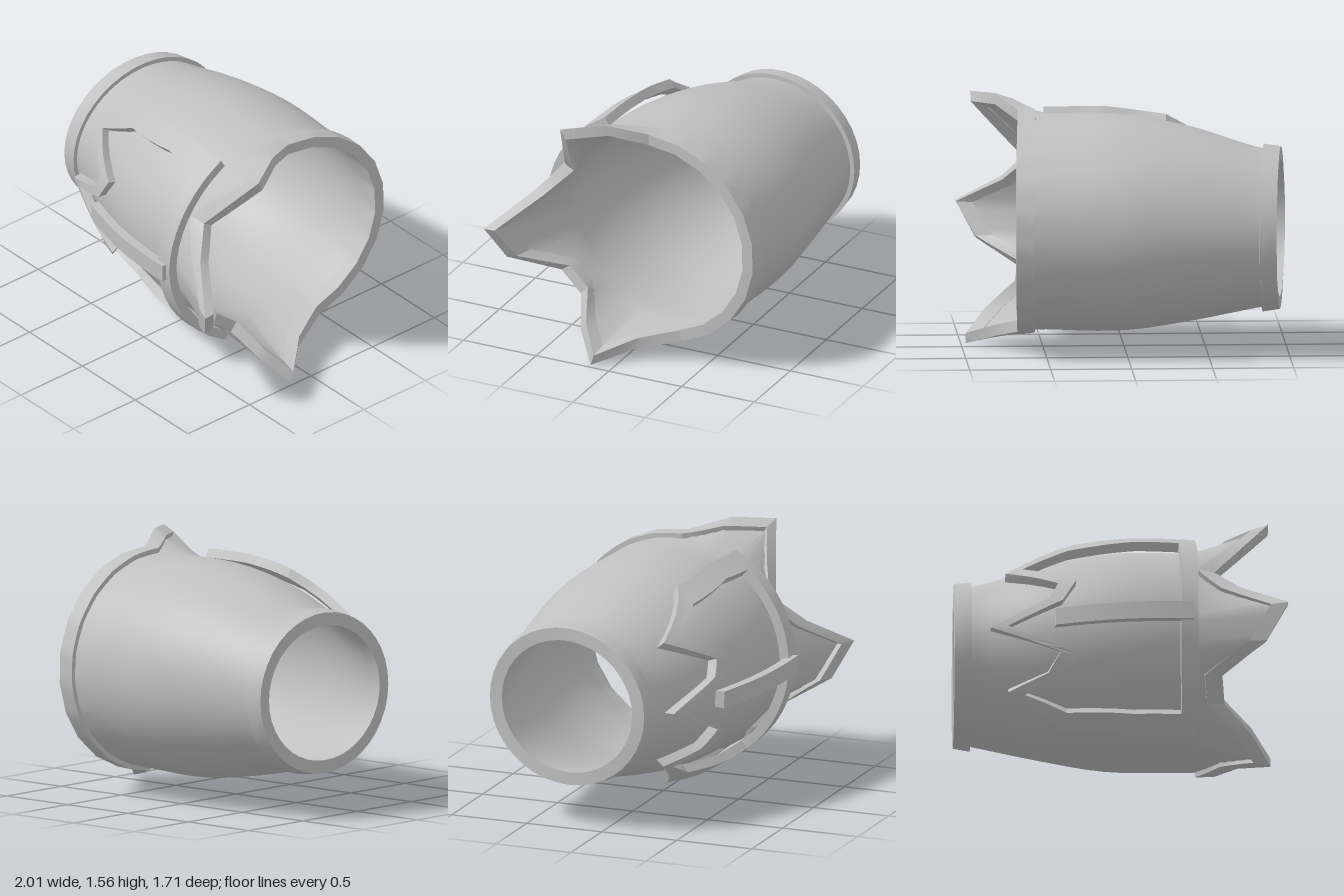
import * as THREE from 'three';
import { toCreasedNormals } from 'three/addons/utils/BufferGeometryUtils.js';

// Sleeve cross-sections along x: centre y, radius y, centre z, radius z
const STATIONS = [-1, -0.86, -0.4, 0, 0.5, 0.75];
const profile = new THREE.CubicInterpolant(STATIONS, [
  0.775, 0.465, -0.245, 0.5,
  0.775, 0.485, -0.24, 0.52,
  0.795, 0.6, -0.18, 0.64,
  0.8, 0.665, -0.145, 0.71,
  0.805, 0.665, -0.115, 0.715,
  0.81, 0.66, -0.12, 0.695,
], 4);

// Point on the sleeve surface; angle 0 faces the front, 90 degrees the top
function onSleeve(x, a, off = 0) {
  const [cy, ry, cz, rz] = profile.evaluate(x);
  return new THREE.Vector3(x, cy + (ry + off) * Math.sin(a), cz + (rz + off) * Math.cos(a));
}
const slanted = (x, a, off) => onSleeve(x - 0.05 * Math.cos(a), a, off);
const inward = (p, a, d) => new THREE.Vector3(p.x, p.y - d * Math.sin(a), p.z - d * Math.cos(a));

// Skin between closed rings of points; wrap also joins the last ring to the first
function loft(rings, wrap, crease) {
  const pos = [], n = rings[0].length;
  for (let i = 0; i < rings.length - (wrap ? 0 : 1); i++) {
    const r = rings[i], s = rings[(i + 1) % rings.length];
    for (let j = 0; j < n; j++) {
      const k = (j + 1) % n;
      for (const p of [r[j], s[j], s[k], r[j], s[k], r[k]]) pos.push(p.x, p.y, p.z);
    }
  }
  const g = new THREE.BufferGeometry();
  g.setAttribute('position', new THREE.Float32BufferAttribute(pos, 3));
  return toCreasedNormals(g, crease);
}

// Split each side of a closed list of number tuples into n steps
function subdivide(list, n) {
  return list.flatMap((p, i) => {
    const q = list[(i + 1) % list.length];
    return Array.from({ length: n }, (_, s) => p.map((v, k) => v + (q[k] - v) * s / n));
  });
}

// Pointed cuff edge: three flared points in front, plain arc behind
function cuffEdge() {
  const points = [
    [1.0, 0.8, 0.86], [0.72, 0.98, 0.66], [0.58, 1.14, 0.51],
    [0.93, 1.55, 0.37], [0.79, 1.57, 0.13],
  ];
  for (let i = 0; i <= 10; i++) {
    const a = THREE.MathUtils.degToRad(89 + i * 16.3);
    points.push(onSleeve(0.66 - 0.045 * Math.cos(a), a, 0.03).toArray());
  }
  points.push([0.79, 0.09, -0.08], [0.97, 0.01, 0.14], [0.84, 0.16, 0.27],
    [0.66, 0.32, 0.36], [0.63, 0.44, 0.51], [0.88, 0.58, 0.76]);
  return subdivide(points, 4).map(([x, y, z]) => {
    const [cy, ry, cz, rz] = profile.evaluate(0.5);
    return { p: new THREE.Vector3(x, y, z), a: Math.atan2((y - cy) / ry, (z - cz) / rz) };
  });
}

// Outline pairs of the front frame: outer x, y and inner x, y
const FRAME = [
  [0.48, 1.46, 0.37, 1.375], [0.1, 1.465, 0.1, 1.385], [-0.27, 1.42, -0.31, 1.325],
  [-0.69, 1.17, -0.59, 1.185], [-0.39, 1.015, -0.28, 1.03], [-0.44, 0.91, -0.365, 0.885],
  [-0.79, 0.75, -0.69, 0.75], [-0.37, 0.555, -0.26, 0.52], [-0.44, 0.44, -0.37, 0.41],
  [-0.67, 0.37, -0.57, 0.345], [-0.33, 0.165, -0.31, 0.24], [0.1, 0.13, 0.1, 0.215],
  [0.5, 0.14, 0.39, 0.22], [0.475, 0.45, 0.365, 0.45], [0.46, 0.8, 0.355, 0.8],
  [0.47, 1.15, 0.36, 1.15],
];

// Map a front-facing x, y position to x and angle on the raised surface
function toAngle(x, y) {
  const [cy, ry] = profile.evaluate(x);
  return Math.asin(THREE.MathUtils.clamp((y - cy) / (ry + 0.09), -1, 1));
}

export function createModel() {
  const group = new THREE.Group();
  const metal = new THREE.MeshStandardMaterial({ color: 0xc0c0c0, side: THREE.DoubleSide });
  metal.name = 'light grey metal';
  const add = (name, geometry) => {
    const mesh = new THREE.Mesh(geometry, metal);
    mesh.name = name;
    group.add(mesh);
  };

  const edge = cuffEdge();

  // Outer and inner skins, flaring out to the pointed cuff
  for (const [name, off] of [['outerSleeve', 0], ['innerSleeve', -0.05]]) {
    const rings = [];
    for (let i = 0; i <= 14; i++) {
      const x = -0.94 + 1.42 * i / 14;
      rings.push(edge.map(({ a }) => slanted(x, a, off)));
    }
    rings.push(edge.map(({ p, a }) => inward(p, a, 0.03 - off * 0.6)));
    add(name, loft(rings, false, 0.7));
  }

  // Raised trim following the pointed edge
  const trim = [[], [], [], []];
  for (const { p, a } of edge) {
    const back = slanted(0.48, a, 0.03).sub(p).normalize().multiplyScalar(0.11).add(p);
    trim[0].push(p);
    trim[1].push(back);
    trim[2].push(inward(back, a, 0.07));
    trim[3].push(inward(p, a, 0.07));
  }
  add('cuffTrim', loft(trim, true, 0.4));

  // Plain band round the narrow end
  const band = [[-0.955, 0.03], [-0.85, 0.03], [-0.85, -0.05], [-0.955, -0.05]];
  add('narrowEndBand', loft(band.map(([x, off]) =>
    Array.from({ length: 40 }, (_, i) => slanted(x, i * Math.PI / 20, off))), true, 0.4));

  // Zigzag frame standing off the front
  const frame = [[], [], [], []];
  for (const [ox, oy, ix, iy] of subdivide(FRAME, 4)) {
    const oa = toAngle(ox, oy), ia = toAngle(ix, iy);
    frame[0].push(onSleeve(ox, oa, 0.09));
    frame[1].push(onSleeve(ix, ia, 0.09));
    frame[2].push(onSleeve(ix, ia, 0.03));
    frame[3].push(onSleeve(ox, oa, 0.03));
  }
  add('frontFrame', loft(frame, true, 0.4));

  // Straight bar along the middle of the frame, with closed ends
  const bar = [];
  for (let i = 0; i <= 8; i++) {
    const t = i / 8, x = -0.41 + 0.84 * t;
    const lo = toAngle(x, 0.71 + 0.02 * t), hi = toAngle(x, 0.815 + 0.025 * t);
    const ring = [onSleeve(x, lo, 0.12), onSleeve(x, hi, 0.12), onSleeve(x, hi, 0.06), onSleeve(x, lo, 0.06)];
    const centre = ring.reduce((s, p) => s.add(p), new THREE.Vector3()).multiplyScalar(0.25);
    const cap = ring.map(() => centre);
    if (i === 0) bar.push(cap);
    bar.push(ring);
    if (i === 8) bar.push(cap);
  }
  add('centreBar', loft(bar, false, 0.4));

  return group;
}
